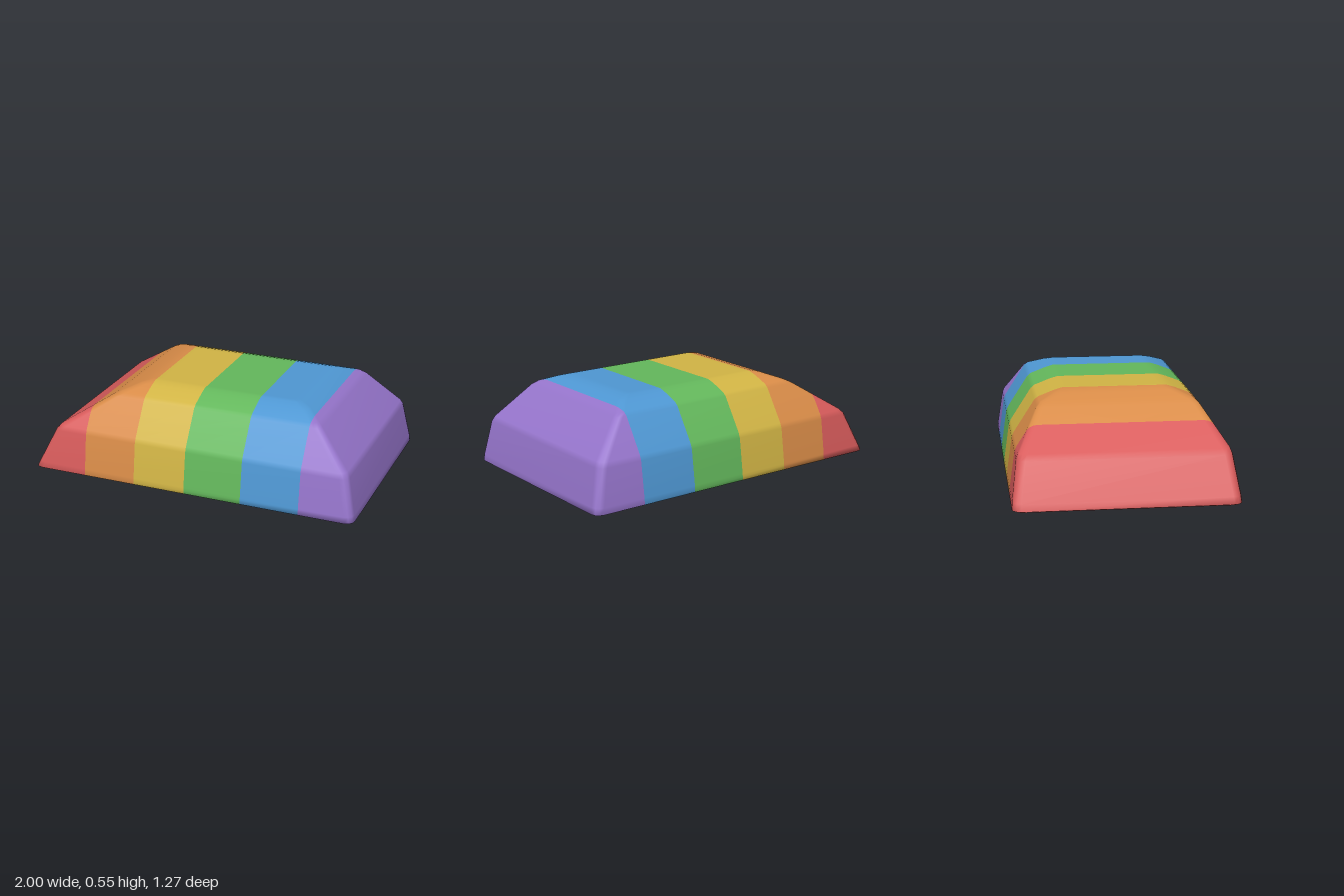
import * as THREE from 'three';

// Horizontal rings of the block: [y, left x, right x, half depth, corner radius]
const RINGS = [
  [0, -0.965, 0.965, 0.59, 0.04],
  [0.004, -0.985, 0.985, 0.615, 0.04],
  [0.012, -1.0, 1.0, 0.635, 0.05],
  [0.05, -0.98, 0.995, 0.632, 0.05],
  [0.26, -0.875, 0.952, 0.602, 0.05],
  [0.29, -0.845, 0.935, 0.59, 0.05],
  [0.48, -0.55, 0.745, 0.468, 0.04],
  [0.5, -0.51, 0.715, 0.445, 0.04],
  [0.535, -0.42, 0.635, 0.355, 0.04],
  [0.55, -0.36, 0.575, 0.305, 0.03],
  [0.55, -0.31, 0.525, 0.27, 0.03],
];

// Colour bands along x: [name, colour, right edge]
const BANDS = [
  ['redBand', 0xd95c5c, -0.66],
  ['orangeBand', 0xd98c48, -0.34],
  ['yellowBand', 0xd2b545, -0.02],
  ['greenBand', 0x64b85c, 0.33],
  ['blueBand', 0x4f98d4, 0.68],
  ['purpleBand', 0x9675cc, 1.1],
];

const CORNER = 3;
const COUNT = 4 * (CORNER + 1);

// Closed smooth shell lofted through the rounded rectangles
function shellGeometry() {
  const pos = [], index = [];
  for (const [y, x0, x1, hz, r] of RINGS) {
    for (let q = 0; q < 4; q++) {
      const cx = q === 0 || q === 3 ? x1 - r : x0 + r;
      const cz = q < 2 ? -(hz - r) : hz - r;
      for (let k = 0; k <= CORNER; k++) {
        const a = (q + k / CORNER) * Math.PI / 2;
        pos.push(cx + r * Math.cos(a), y, cz - r * Math.sin(a));
      }
    }
  }
  const last = (RINGS.length - 1) * COUNT;
  const bottom = RINGS.length * COUNT, top = bottom + 1;
  pos.push(0, 0, 0, 0.1, 0.55, 0);
  for (let i = 0; i < COUNT; i++) {
    const n = (i + 1) % COUNT;
    for (let j = 0; j < last; j += COUNT) {
      index.push(j + i, j + n, j + COUNT + n, j + i, j + COUNT + n, j + COUNT + i);
    }
    index.push(top, last + i, last + n, bottom, n, i);
  }
  const g = new THREE.BufferGeometry();
  g.setAttribute('position', new THREE.Float32BufferAttribute(pos, 3));
  g.setIndex(index);
  g.computeVertexNormals();
  return g;
}

// Keep the side of a polygon where sign * (x - limit) >= 0
function clip(poly, limit, sign) {
  const out = [];
  poly.forEach((a, i) => {
    const b = poly[(i + 1) % poly.length];
    const da = sign * (a.p.x - limit), db = sign * (b.p.x - limit);
    if (da >= 0) out.push(a);
    if (da * db < 0) {
      const t = da / (da - db);
      out.push({ p: a.p.clone().lerp(b.p, t), n: a.n.clone().lerp(b.n, t) });
    }
  });
  return out;
}

// The part of the shell between two x planes, with its smooth normals
function bandGeometry(shell, from, to) {
  const { position, normal } = shell.attributes;
  const idx = shell.index.array, pos = [], nor = [];
  for (let i = 0; i < idx.length; i += 3) {
    const tri = [0, 1, 2].map((k) => ({
      p: new THREE.Vector3().fromBufferAttribute(position, idx[i + k]),
      n: new THREE.Vector3().fromBufferAttribute(normal, idx[i + k]),
    }));
    const poly = clip(clip(tri, from, 1), to, -1);
    for (let k = 1; k + 1 < poly.length; k++) {
      for (const v of [poly[0], poly[k], poly[k + 1]]) {
        pos.push(...v.p.toArray());
        nor.push(...v.n.normalize().toArray());
      }
    }
  }
  const g = new THREE.BufferGeometry();
  g.setAttribute('position', new THREE.Float32BufferAttribute(pos, 3));
  g.setAttribute('normal', new THREE.Float32BufferAttribute(nor, 3));
  return g;
}

export function createModel() {
  const group = new THREE.Group();
  group.name = 'taperedBlock';
  const shell = shellGeometry();
  let from = -1.1;
  for (const [name, color, to] of BANDS) {
    const mesh = new THREE.Mesh(bandGeometry(shell, from, to), new THREE.MeshStandardMaterial({ color }));
    mesh.name = name;
    group.add(mesh);
    from = to;
  }
  return group;
}
